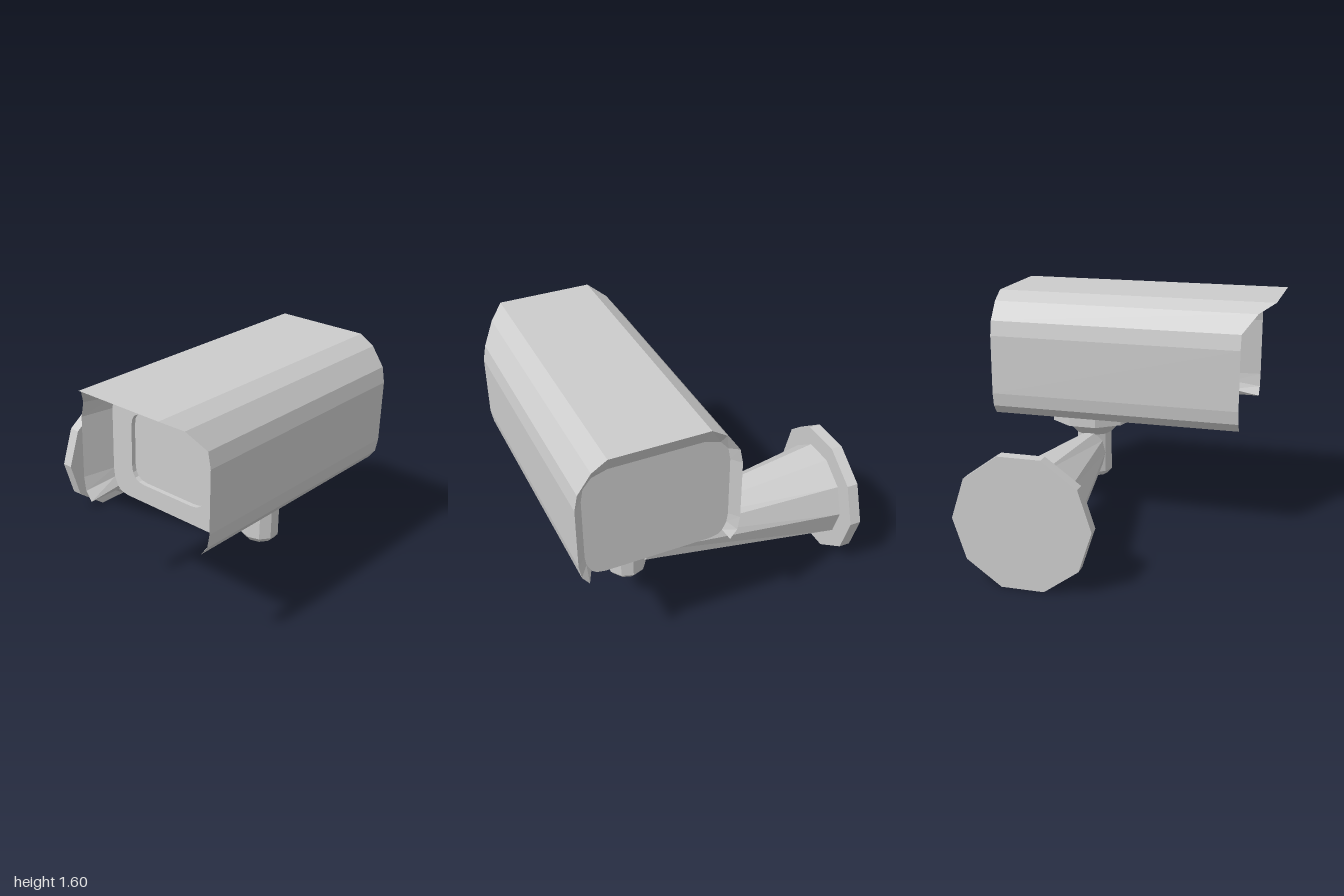
import * as THREE from 'three';

const mat = new THREE.MeshStandardMaterial({ color: 0xcccccc, flatShading: true });
const sheetMat = new THREE.MeshStandardMaterial({ color: 0xcccccc, flatShading: true, side: THREE.DoubleSide });

const BODY_Z = 0.495;          // centre line of the camera housing
const PX = 0.37, PZ = 0.495;   // axis of the swivel post
const ARM_Y = 0.42;            // axis of the wall arm

// half profiles as [distance from centre line, height], bottom to top
const outerHalf = [[0.445, 0.77], [0.49, 0.83], [0.505, 0.92], [0.505, 1.32], [0.485, 1.42], [0.4, 1.54], [0.305, 1.6]];
const innerHalf = [[0.415, 0.815], [0.442, 0.87], [0.45, 0.93], [0.45, 1.33], [0.435, 1.41], [0.385, 1.47], [0.29, 1.5]];

const mirrorProfile = half => [...half, ...half.slice().reverse().map(([w, y]) => [-w, y])];

function add(parent, name, geometry, material = mat) {
  const mesh = new THREE.Mesh(geometry, material);
  mesh.name = name;
  parent.add(mesh);
  return mesh;
}

// ten-sided cylinder with corners on the +x and -x sides
const decagon = (rTop, rBottom, h) => new THREE.CylinderGeometry(rTop, rBottom, h, 10).rotateY(Math.PI / 2);

// extrude a shape drawn in (z, y) along x from x0 to x1
function extrudeX(shape, x0, x1) {
  return new THREE.ExtrudeGeometry(shape, { depth: x1 - x0, bevelEnabled: false, curveSegments: 4 })
    .rotateY(Math.PI / 2).translate(x0, 0, BODY_Z);
}

function bodyShape() {
  const half = [[0.33, 0.78], [0.385, 0.79], ...innerHalf];
  return new THREE.Shape(mirrorProfile(half).map(([w, y]) => new THREE.Vector2(w, y)));
}

function roundedRect(path, w, y0, y1, r) {
  path.moveTo(-w + r, y0);
  path.lineTo(w - r, y0).quadraticCurveTo(w, y0, w, y0 + r);
  path.lineTo(w, y1 - r).quadraticCurveTo(w, y1, w - r, y1);
  path.lineTo(-w + r, y1).quadraticCurveTo(-w, y1, -w, y1 - r);
  path.lineTo(-w, y0 + r).quadraticCurveTo(-w, y0, -w + r, y0);
  return path;
}

// hood: a sheet running body front -> front lip -> rear lip -> body rear
function hoodGeometry() {
  const outer = mirrorProfile(outerHalf), inner = mirrorProfile(innerHalf);
  const lipX = w => -0.75 - 0.19 * Math.max(0, (0.485 - Math.abs(w)) / 0.18);
  const rows = [
    inner.map(([w, y]) => [-0.55, y, BODY_Z + w]),
    outer.map(([w, y]) => [y < 1.4 ? -0.75 : lipX(w), y, BODY_Z + w]),
    outer.map(([w, y]) => [0.94, y, BODY_Z + w]),
    inner.map(([w, y]) => [0.89, y, BODY_Z + w]),
  ];
  const pos = [];
  const quad = (a, b, c, d) => pos.push(...a, ...b, ...c, ...a, ...c, ...d);
  for (let r = 0; r < 3; r++)
    for (let i = 0; i < outer.length - 1; i++)
      quad(rows[r][i], rows[r + 1][i], rows[r + 1][i + 1], rows[r][i + 1]);
  // close the lower edges between hood and body
  const n = outer.length - 1;
  quad(rows[0][0], rows[3][0], rows[2][0], rows[1][0]);
  quad(rows[0][n], rows[1][n], rows[2][n], rows[3][n]);
  const g = new THREE.BufferGeometry();
  g.setAttribute('position', new THREE.Float32BufferAttribute(pos, 3));
  g.computeVertexNormals();
  return g;
}

export function createModel() {
  const model = new THREE.Group();
  model.name = 'securityCamera';

  // camera housing with a recessed front window
  const housing = new THREE.Group();
  housing.name = 'housing';
  model.add(housing);
  add(housing, 'hood', hoodGeometry(), sheetMat);
  add(housing, 'body', extrudeX(bodyShape(), -0.52, 0.89));
  const frame = bodyShape();
  frame.holes.push(roundedRect(new THREE.Path(), 0.29, 0.9, 1.36, 0.1));
  add(housing, 'windowFrame', extrudeX(frame, -0.55, -0.52));

  // swivel mount under the housing
  const swivel = new THREE.Group();
  swivel.name = 'swivelMount';
  swivel.position.set(PX, 0, PZ);
  model.add(swivel);
  add(swivel, 'mountPlate', decagon(0.305, 0.305, 0.105).translate(0, 0.7125, 0));
  add(swivel, 'mountCone', decagon(0.22, 0.125, 0.11).translate(0, 0.605, 0));
  const postProfile = [[0, 0.215], [0.05, 0.218], [0.1, 0.235], [0.128, 0.27], [0.128, 0.56]]
    .map(([r, y]) => new THREE.Vector2(r, y));
  add(swivel, 'post', new THREE.LatheGeometry(postProfile, 10).rotateY(Math.PI / 2));

  // tapered arm, slimmer sideways where it meets the post
  const wall = new THREE.Group();
  wall.name = 'wallBracket';
  wall.position.set(PX, ARM_Y, 0);
  model.add(wall);
  const arm = decagon(0.15, 0.318, 1.31).rotateX(Math.PI / 2).translate(0, 0, -0.265);
  const p = arm.attributes.position;
  for (let i = 0; i < p.count; i++) if (p.getZ(i) > 0) p.setX(i, p.getX(i) * 0.74);
  add(wall, 'arm', arm);
  add(wall, 'wallPlate', decagon(0.44, 0.44, 0.075).rotateX(Math.PI / 2).translate(0, 0, -0.9625));

  return model;
}
